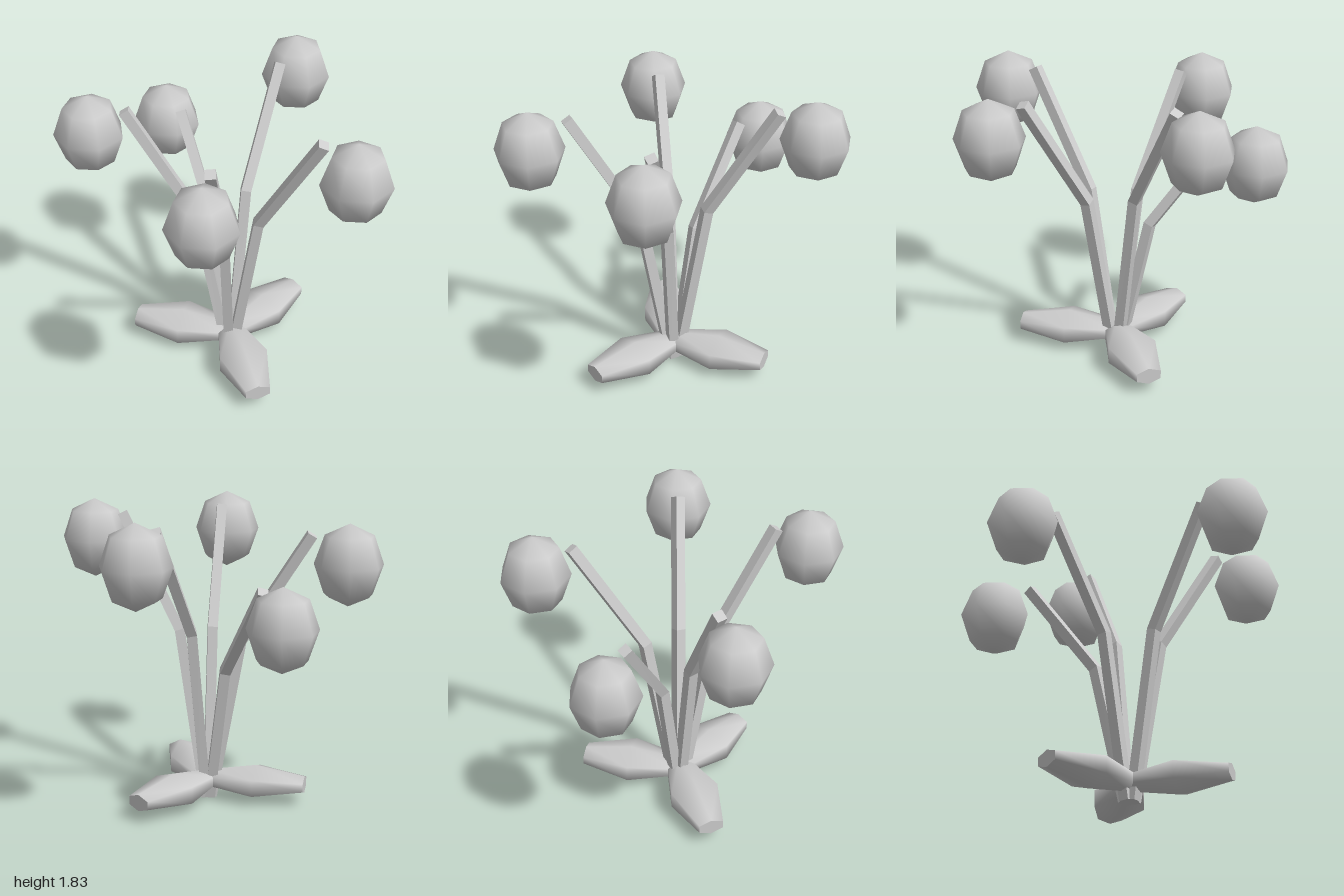
import * as THREE from 'three';
import { mergeVertices } from 'three/addons/utils/BufferGeometryUtils.js';

const BASE = new THREE.Vector3(-0.06, 0.012, 0);
const UP = new THREE.Vector3(0, 1, 0);

// Each flower: blossom centre, stem tip, height of the bend in the stem
const FLOWERS = [
  { head: [0.74, 1.585, -0.2], tip: [0.535, 1.75, -0.15], bend: 1.08 },
  { head: [-0.75, 1.545, 0.465], tip: [-0.565, 1.725, 0.345], bend: 1.03 },
  { head: [-0.495, 1.49, -0.715], tip: [-0.38, 1.665, -0.53], bend: 1.01 },
  { head: [0.2, 1.235, -0.79], tip: [0.13, 1.41, -0.59], bend: 0.85 },
  { head: [0.11, 1.555, 0.8], tip: [0.065, 1.725, 0.595], bend: 1.04 },
];

// Square rod with one bend: every ring of a cylinder is moved onto the path
function stemGeometry(tipArray, bendHeight) {
  const tip = new THREE.Vector3(...tipArray);
  const out = tip.clone().sub(BASE).setY(0);
  const start = BASE.clone().addScaledVector(out.clone().normalize(), 0.025);
  const bend = BASE.clone().addScaledVector(out, 0.33).setY(bendHeight);
  const path = [start, bend, tip];
  const lower = bend.clone().sub(start).normalize();
  const upper = tip.clone().sub(bend).normalize();
  const turns = [lower, lower.clone().add(upper).normalize(), upper]
    .map((d) => new THREE.Quaternion().setFromUnitVectors(UP, d));

  const geo = new THREE.CylinderGeometry(0.043, 0.043, 2, 4, 2);
  const pos = geo.attributes.position;
  const v = new THREE.Vector3();
  for (let i = 0; i < pos.count; i++) {
    v.fromBufferAttribute(pos, i);
    const ring = Math.round(v.y + 1);
    v.setY(0).applyQuaternion(turns[ring]).add(path[ring]);
    pos.setXYZ(i, v.x, v.y, v.z);
  }
  const flat = geo.toNonIndexed();
  flat.computeVertexNormals();
  return flat;
}

// Six-sided pod along +x, swollen in the middle, with flat ends
function leafGeometry() {
  const length = 0.605;
  let geo = new THREE.CylinderGeometry(0.5, 0.5, length, 6, 2);
  const pos = geo.attributes.position;
  for (let i = 0; i < pos.count; i++) {
    if (Math.abs(pos.getY(i)) < 0.01) pos.setXYZ(i, pos.getX(i) * 2, 0, pos.getZ(i) * 2);
  }
  geo.rotateY(Math.PI / 2);
  geo.rotateZ(-Math.PI / 2);
  geo.scale(1, 0.1025, 0.173);
  geo.translate(length / 2, 0, 0);
  geo.deleteAttribute('uv');
  geo = mergeVertices(geo);
  geo.computeVertexNormals();
  return geo;
}

export function createModel() {
  const model = new THREE.Group();
  model.name = 'flowerCluster';
  const grey = new THREE.MeshStandardMaterial({ color: 0xcccccc });
  grey.name = 'light grey';

  const add = (geometry, name) => {
    const mesh = new THREE.Mesh(geometry, grey);
    mesh.name = name;
    model.add(mesh);
    return mesh;
  };

  // Stems and seven-sided blossoms
  const blossom = new THREE.SphereGeometry(0.21, 7, 4);
  blossom.rotateY(-Math.PI / 2);
  blossom.scale(1, 0.245 / 0.21, 1);
  FLOWERS.forEach(({ head, tip, bend }, i) => {
    add(stemGeometry(tip, bend), `stem${i + 1}`);
    add(blossom, `blossom${i + 1}`).position.set(...head);
  });

  // Three leaves spread around the foot
  const leaf = leafGeometry();
  for (let i = 0; i < 3; i++) {
    const mesh = add(leaf, `leaf${i + 1}`);
    mesh.position.set(BASE.x, 0.1225, 0);
    mesh.rotation.y = (i * Math.PI * 2) / 3;
  }
  return model;
}
